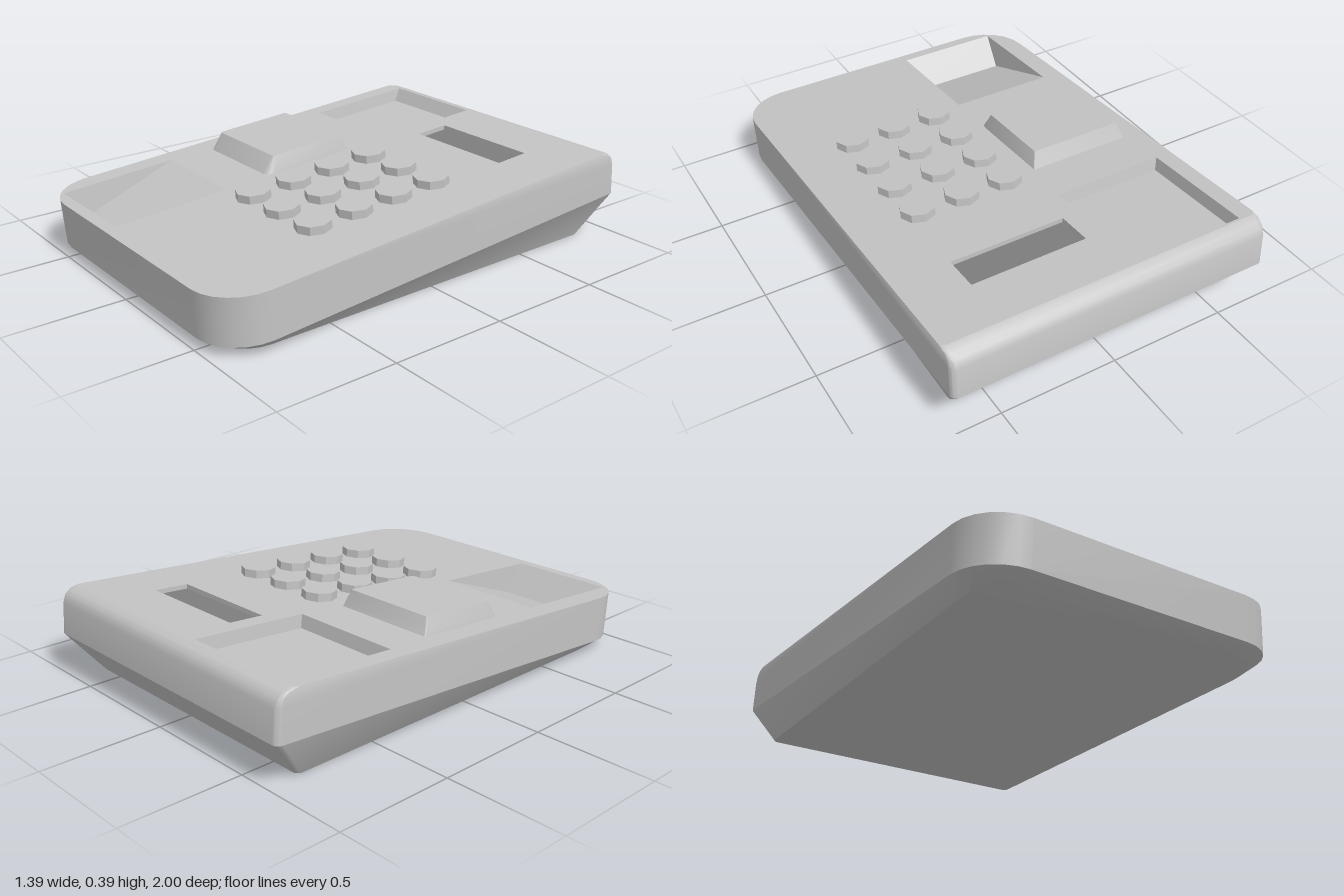
import * as THREE from 'three';
import { toCreasedNormals } from 'three/addons/utils/BufferGeometryUtils.js';

const SLOPE = 0.0705;
const topY = z => 0.235 + (1 - z) * SLOPE; // tilted upper face

// Rounded rectangle, counterclockwise from above: front right, back right, back left, front left
function ring({ cx = 0, hw, zb, zf, rb = 0, rf = 0, n = 0, y }) {
  const corners = [[1, zf - rf, rf], [1, zb + rb, rb], [-1, zb + rb, rb], [-1, zf - rf, rf]];
  const pts = [];
  corners.forEach(([side, cz, r], i) => {
    for (let j = 0; j <= n; j++) {
      const a = (i - 1 + (n ? j / n : 0)) * Math.PI / 2;
      const z = cz - r * Math.sin(a);
      pts.push(new THREE.Vector3(cx + side * (hw - r) + r * Math.cos(a), y(z), z));
    }
  });
  return pts;
}

const rect = (x0, x1, z0, z1, y) => ring({ cx: (x0 + x1) / 2, hw: (x1 - x0) / 2, zb: z0, zf: z1, y });

// Skin through rings; going upward faces out, going downward makes a pocket
function loft(rings, { first = false, last = false } = {}) {
  const pos = [];
  const tri = (...v) => v.forEach(p => pos.push(p.x, p.y, p.z));
  const count = rings[0].length;
  for (let k = 0; k < rings.length - 1; k++) {
    const a = rings[k], b = rings[k + 1];
    for (let i = 0; i < count; i++) {
      const j = (i + 1) % count;
      tri(a[i], a[j], b[j]);
      tri(a[i], b[j], b[i]);
    }
  }
  const start = rings[0], end = rings[rings.length - 1];
  for (let i = 1; i < count - 1; i++) {
    if (first) tri(start[0], start[i + 1], start[i]);
    if (last) tri(end[0], end[i], end[i + 1]);
  }
  const g = new THREE.BufferGeometry();
  g.setAttribute('position', new THREE.Float32BufferAttribute(pos, 3));
  return toCreasedNormals(g, 0.6);
}

export function createModel() {
  const model = new THREE.Group();
  const casing = new THREE.MeshStandardMaterial({ color: 0xc4c4c4 });
  casing.name = 'casing grey';
  const dark = new THREE.MeshStandardMaterial({ color: 0x7e7e7e });
  dark.name = 'display grey';
  const add = (name, geometry, material = casing) => {
    const m = new THREE.Mesh(geometry, material);
    m.name = name;
    model.add(m);
    return m;
  };

  // Lower shell: tapered wedge down to the flat base
  const outline = o => ring({ hw: 0.695, zf: 1, rb: 0.025, rf: 0.2, n: 6, ...o });
  const seam = outline({ zb: -1, zf: 0.985, y: z => 0.04 + (0.985 - z) * SLOPE });
  const base = outline({ hw: 0.63, zb: -0.86, zf: 0.92, rf: 0.16, y: () => 0 });
  add('lowerShell', loft([base, seam], { first: true }));

  // Upper shell: walls with a rounded rear edge
  const rear = (zb, h) => outline({ zb, y: z => (z < -0.9 ? h : topY(z)) });
  const rim = outline({ zb: -0.92, y: topY });
  add('upperShell', loft([seam, rear(-0.99, 0.31), rear(-0.978, 0.343), rear(-0.955, 0.362), rim]));

  // Pocket openings in the upper face
  const cradle = rect(-0.62, -0.13, -0.91, -0.4, topY);
  const display = rect(-0.055, 0.445, -0.695, -0.54, topY);
  const ramp = rect(-0.605, -0.145, 0.435, 0.95, topY);

  // Upper face, cut by the openings
  const flat = pts => pts.map(p => new THREE.Vector2(p.x, -p.z));
  const face = new THREE.Shape(flat(rim));
  [cradle, display, ramp].forEach(h => face.holes.push(new THREE.Path(flat(h))));
  const faceGeo = new THREE.ShapeGeometry(face);
  const p = faceGeo.attributes.position;
  for (let i = 0; i < p.count; i++) {
    const z = -p.getY(i);
    p.setXYZ(i, p.getX(i), topY(z), z);
  }
  faceGeo.computeVertexNormals();
  add('topFace', faceGeo);

  // Square cradle for the earpiece
  const cradleFloor = rect(-0.61, -0.137, -0.877, -0.412, z => topY(z) - 0.055);
  add('earpieceCradle', loft([cradle, cradleFloor], { last: true }));

  // Sunken display window
  const displayFloor = rect(-0.055, 0.445, -0.695, -0.54, z => topY(z) - 0.02);
  add('displayFrame', loft([display, displayFloor]));
  add('displayPanel', loft([displayFloor], { last: true }), dark);

  // Mouthpiece recess: a ramp ending in a sloped front wall
  const rampFloor = rect(-0.59, -0.155, 0.435, 0.84, z => topY(0.435) - (z - 0.435) * 0.37);
  [1, 2].forEach(i => rampFloor[i].copy(ramp[i]));
  add('mouthpieceRecess', loft([ramp, rampFloor], { last: true }));

  // Raised handset rest with bevelled sides
  const rest = o => ring({ cx: -0.3725, rb: 0.005, n: 3, ...o });
  add('handsetRest', loft([
    rest({ hw: 0.228, zb: -0.2, zf: 0.238, rf: 0.035, y: z => topY(z) - 0.005 }),
    rest({ hw: 0.224, zb: -0.19, zf: 0.226, rf: 0.035, y: z => topY(z) + 0.016 }),
    rest({ hw: 0.208, zb: -0.168, zf: 0.19, rf: 0.015, y: z => topY(z) + 0.07 }),
  ], { last: true }));

  // Keypad of octagonal keys, tilted with the upper face
  const keyGeo = new THREE.CylinderGeometry(0.074, 0.074, 0.045, 8).toNonIndexed();
  keyGeo.computeVertexNormals();
  for (let row = 0; row < 4; row++) {
    for (let col = 0; col < 3; col++) {
      const z = -0.195 + row * 0.2;
      const key = add('key', keyGeo);
      key.position.set(col * 0.2, topY(z) + 0.0125, z);
      key.rotation.x = Math.atan(SLOPE);
    }
  }
  return model;
}
